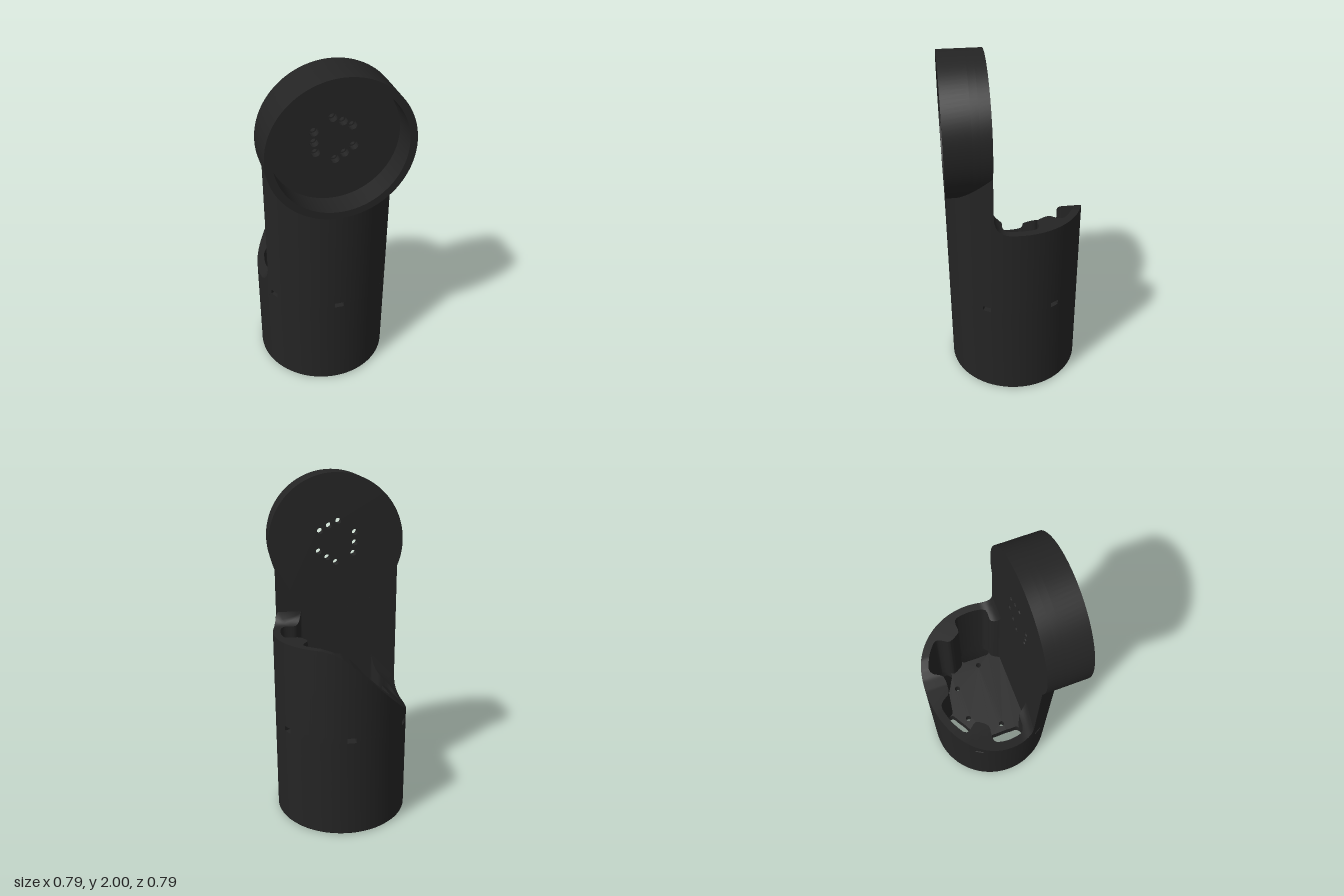
import * as THREE from 'three';
import { toCreasedNormals } from 'three/addons/utils/BufferGeometryUtils.js';

const R = 0.393, HEAD_Y = 1.607, BACK = 0.15, FILLET = 0.08;
const PLATE_Y = 0.58, SLOT_LOW = 0.585, SLOT_HIGH = 0.615;
const rad = THREE.MathUtils.degToRad;

// piecewise-linear lookup
function lookup(table, t) {
  for (let i = 1; i < table.length; i++) {
    const [a, va] = table[i - 1], [b, vb] = table[i];
    if (t <= b) return va + (vb - va) * Math.max(0, (t - a) / (b - a));
  }
  return table[table.length - 1][1];
}

// surface from a rule p(u, v); the front side is du x dv
function surface(nu, nv, p) {
  const pos = [], idx = [];
  for (let i = 0; i <= nu; i++)
    for (let j = 0; j <= nv; j++) pos.push(...p(i / nu, j / nv));
  for (let i = 0; i < nu; i++)
    for (let j = 0; j < nv; j++) {
      const a = i * (nv + 1) + j, b = a + nv + 1;
      idx.push(a, b, b + 1, a, b + 1, a + 1);
    }
  const g = new THREE.BufferGeometry();
  g.setAttribute('position', new THREE.Float32BufferAttribute(pos, 3));
  g.setIndex(idx);
  g.computeVertexNormals();
  return g;
}

function circle(x, y, r, Type = THREE.Path) {
  const c = new Type();
  c.absarc(x, y, r, 0, Math.PI * 2, false);
  return c;
}

function extrude(shape, depth, curveSegments = 48) {
  const g = new THREE.ExtrudeGeometry(shape, { depth, curveSegments, bevelEnabled: false });
  return toCreasedNormals(g, 0.6);
}

// slanted cut across the tube, blending up into the flat back of the neck
const CUT = [[-0.393, 0.63], [-0.28, 0.76], [-0.1, 0.945], [0, 1.04], [0.05, 1.08],
  [0.1, 1.107], [0.16, 1.122], [0.393, 1.122]];
function cutHeight(x, z) {
  const d = Math.min(FILLET, Math.max(0, z - (BACK - FILLET)));
  return lookup(CUT, x) + FILLET - Math.sqrt(FILLET * FILLET - d * d);
}

// inner wall radius, with six rounded ribs
const RIB = [[0, 0.263], [4, 0.264], [8, 0.27], [10.4, 0.285], [10.9, 0.3], [12, 0.322],
  [14, 0.341], [17, 0.349], [30, 0.35]];
const ledgeOuter = (a) => (Math.sin(a) > 0 ? Math.min(R, BACK / Math.sin(a)) : R);
function ledgeInner(a) {
  const deg = ((THREE.MathUtils.radToDeg(a) % 60) + 60) % 60;
  return Math.min(lookup(RIB, Math.abs(deg - 30)), ledgeOuter(a));
}

export function createModel() {
  const model = new THREE.Group();
  const black = new THREE.MeshStandardMaterial({ color: 0x242424, side: THREE.DoubleSide });
  black.name = 'matte black';
  const add = (name, geometry, parent = model) => {
    const m = new THREE.Mesh(geometry, black);
    m.name = name;
    parent.add(m);
    return m;
  };

  // hollow lower tube
  const profile = [[0.355, 0.5], [0.355, 0.01], [0.36, 0], [0.385, 0], [R, 0.008], [R, SLOT_LOW]];
  const tube = new THREE.LatheGeometry(profile.map(([x, y]) => new THREE.Vector2(x, y)), 96);
  add('lowerTube', toCreasedNormals(tube, 0.5));

  // band with six small rectangular pockets
  const band = new THREE.Group();
  band.name = 'slotBand';
  model.add(band);
  const half = 0.026 / R;
  for (let k = 0; k < 6; k++) {
    const mid = rad(30 + 60 * k), start = mid + half, span = rad(60) - 2 * half;
    add('bandSegment', surface(16, 1, (u, v) => {
      const a = start + span * u;
      return [R * Math.cos(a), SLOT_HIGH + (SLOT_LOW - SLOT_HIGH) * v, R * Math.sin(a)];
    }), band);
    const pocket = new THREE.BoxGeometry(0.052, SLOT_HIGH - SLOT_LOW, 0.06);
    const index = Array.from(pocket.index.array);
    pocket.setIndex([...index.slice(0, 24), ...index.slice(30)]); // open outward
    pocket.translate(0, (SLOT_HIGH + SLOT_LOW) / 2, R - 0.031);
    pocket.rotateY(Math.PI / 2 - mid);
    add('nutPocket', pocket, band);
  }

  // outer walls: low slanted back, tall front neck
  const edge = Math.asin(BACK / R);
  const wall = (from, to, top) => surface(128, 1, (u, v) => {
    const a = from + (to - from) * u, x = R * Math.cos(a), z = R * Math.sin(a);
    return [x, v ? SLOT_HIGH : top(x, z), z];
  });
  add('slantedWall', wall(Math.PI - edge, 2 * Math.PI + edge, cutHeight));
  add('neckFront', wall(edge, Math.PI - edge, (x, z) => HEAD_Y - z));

  // flat back of the neck, up to the head
  const w = Math.sqrt(R * R - BACK * BACK);
  const flat = new THREE.Shape();
  flat.moveTo(-w, 0.55);
  flat.lineTo(w, 0.55);
  for (let i = 0; i <= 40; i++) {
    const x = w - (2 * w * i) / 40;
    flat.lineTo(x, HEAD_Y - Math.sqrt(R * R - x * x));
  }
  const neckBack = new THREE.ShapeGeometry(flat);
  neckBack.rotateY(Math.PI);
  neckBack.translate(0, 0, BACK);
  add('neckBack', neckBack);

  // rim of the cut and the ribbed inner wall
  const from = rad(143), to = rad(397);
  add('cutRim', surface(254, 4, (u, v) => {
    const a = from + (to - from) * u;
    const r = THREE.MathUtils.lerp(ledgeOuter(a), ledgeInner(a), 1 - v);
    const x = r * Math.cos(a), z = r * Math.sin(a);
    return [x, cutHeight(x, z), z];
  }).scale(1, 1, 1));
  add('ribbedInnerWall', surface(254, 1, (u, v) => {
    const a = from + (to - from) * u, r = ledgeInner(a);
    const x = r * Math.cos(a), z = r * Math.sin(a);
    return [x, v ? cutHeight(x, z) : PLATE_Y, z];
  }));

  // inner plate with curved slots and screw holes
  const plate = circle(0, 0, 0.37, THREE.Shape);
  const slot = [[0.35, 0], [0.347, 0.05], [0.337, 0.085], [0.3, 0.107], [0.264, 0.085], [0.262, 0.05],
    [0.26, 0], [0.262, -0.05], [0.264, -0.085], [0.3, -0.107], [0.337, -0.085], [0.347, -0.05]];
  for (const deg of [0, 60, 120, 180]) {
    const c = Math.cos(rad(deg)), s = Math.sin(rad(deg));
    const curve = new THREE.CatmullRomCurve3(
      slot.map(([u, v]) => new THREE.Vector3(u * c - v * s, u * s + v * c, 0)), true);
    plate.holes.push(new THREE.Path(curve.getPoints(48).slice(0, -1).map((p) => new THREE.Vector2(p.x, p.y))));
    plate.holes.push(circle(0.212 * c, 0.212 * s, 0.016));
  }
  const plateGeo = extrude(plate, 0.08);
  plateGeo.rotateX(-Math.PI / 2);
  plateGeo.translate(0, 0.5, 0);
  add('innerPlate', plateGeo);

  // round head: pierced floor in two layers and a raised rim
  const head = new THREE.Group();
  head.name = 'head';
  head.position.y = HEAD_Y;
  model.add(head);
  const holes = [[-0.01, 0.122], [0.045, 0.096], [0.096, 0.066], [0.105, -0.052], [0.055, -0.087],
    [0.005, -0.117], [-0.1, -0.065], [-0.107, -0.005], [-0.107, 0.055]];
  const disc = (name, z, depth, list) => {
    const s = circle(0, 0, R, THREE.Shape);
    s.holes.push(...list);
    add(name, extrude(s, depth), head).position.z = z;
  };
  disc('headBack', BACK, 0.06, holes.map(([x, y]) => circle(x, y, 0.017)));
  disc('headFloor', BACK + 0.06, 0.04, holes.map(([x, y]) => circle(x, y, 0.024)));
  disc('headRim', BACK + 0.1, R - BACK - 0.1, [circle(0, 0, 0.353)]);

  return model;
}
